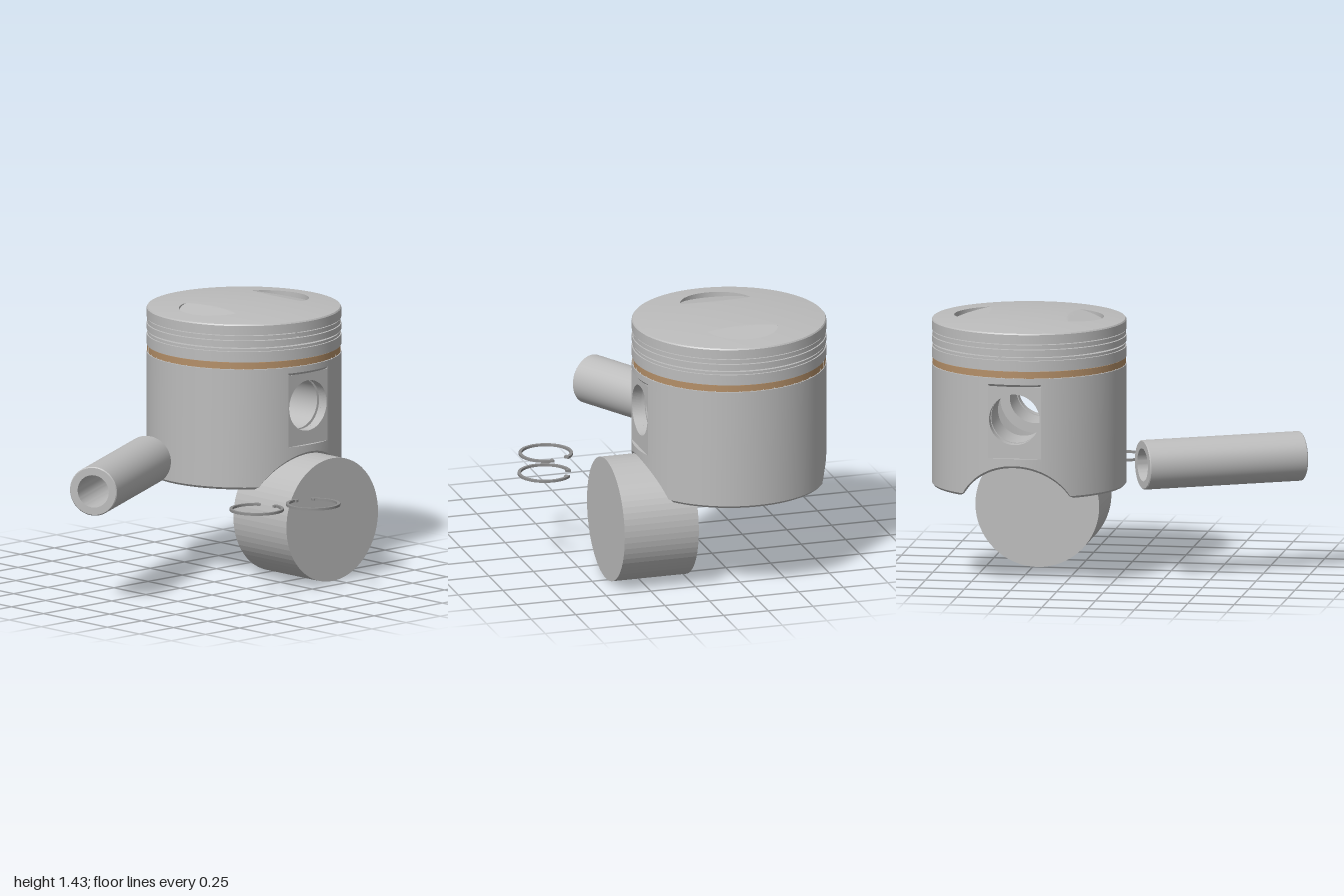
import * as THREE from 'three';
import { mergeGeometries, toCreasedNormals } from 'three/addons/utils/BufferGeometryUtils.js';

const alloy = new THREE.MeshStandardMaterial({ color: 0xbcbcbc });
alloy.name = 'light alloy grey';
const bronze = new THREE.MeshStandardMaterial({ color: 0xb48f68 });
bronze.name = 'bronze';
const spring = new THREE.MeshStandardMaterial({ color: 0x8e8e8e });
spring.name = 'spring steel grey';

const R = 0.52, INNER = 0.47, PIN_Y = 0.93, BORE = 0.137, ARCH = 0.335;

function part(name, geometry, material = alloy) {
  const mesh = new THREE.Mesh(geometry, material);
  mesh.name = name;
  return mesh;
}

const crease = (g, angle = 0.5) => toCreasedNormals(g, angle);

// Lathe from [radius, height] pairs
function lathe(pairs, segments = 96, start = 0, length = Math.PI * 2) {
  return crease(new THREE.LatheGeometry(pairs.map(([r, y]) => new THREE.Vector2(r, y)), segments, start, length));
}

// Ring of rectangular section
const band = (r0, r1, y0, y1, ...arc) => lathe([[r0, y0], [r1, y0], [r1, y1], [r0, y1], [r0, y0]], ...arc);

// Skin a list of equally long sections of [x, y, z] points
function loft(rows) {
  const n = rows[0].length, index = [];
  for (let i = 0; i < rows.length - 1; i++) {
    for (let j = 0; j < n - 1; j++) {
      const a = i * n + j, b = a + n;
      index.push(a, a + 1, b, a + 1, b + 1, b);
    }
  }
  const g = new THREE.BufferGeometry();
  g.setAttribute('position', new THREE.Float32BufferAttribute(rows.flat(2), 3));
  g.setIndex(index);
  return g;
}

// Lower skirt edge, arched front and back
const skirtBottom = x => Math.max(0.5, ARCH + Math.sqrt(Math.max(0, ARCH * ARCH - x * x)));

// Piece of skirt wall between two angles
function wall(a0, a1, top, bottom, segments) {
  const rows = [];
  for (let i = 0; i <= segments; i++) {
    const a = a0 + (a1 - a0) * i / segments, s = Math.sin(a), c = Math.cos(a);
    const p = (r, y) => [r * s, y, r * c];
    const low = r => bottom ?? skirtBottom(r * s);
    rows.push([p(R, top), p(R, low(R) + 0.012), p(R - 0.01, low(R - 0.01)),
      p(INNER, low(INNER)), p(INNER, top), p(R, top)]);
  }
  return loft(rows);
}

function skirt() {
  const a1 = Math.asin(0.143 / R), a2 = Math.asin(0.291 / R);
  const pieces = [];
  for (const turn of [0, Math.PI]) {
    pieces.push(
      wall(turn + a1, turn + a2, 1.15, null, 12),
      wall(turn + a2, turn + Math.PI - a2, 1.15, null, 40),
      wall(turn + Math.PI - a2, turn + Math.PI - a1, 1.15, null, 12),
      wall(turn - a1, turn + a1, 0.72, null, 14),
      wall(turn - a1, turn + a1, 1.15, 1.11, 14));
  }
  return crease(mergeGeometries(pieces));
}

// Half of the domed crown with one sloping valve pocket
function crownHalf() {
  const edge = 0.515, cx = 0.203, pr = 0.2, boundary = [], rows = [];
  const dome = (x, z) => 1.43 - 0.03 * (x * x + z * z) / (edge * edge);
  for (let i = 0; i <= 64; i++) {
    const a = Math.PI * i / 64;
    boundary.push([edge * Math.sin(a), edge * Math.cos(a)]);
  }
  for (let i = 1; i <= 64; i++) boundary.push([0, -edge + 2 * edge * i / 64]);
  for (const [bx, bz] of boundary) {
    const d = Math.hypot(bx - cx, bz), dx = (bx - cx) / d, dz = bz / d, row = [];
    for (let k = 0; k <= 8; k++) {
      const x = cx + dx * pr * k / 8, z = dz * pr * k / 8;
      row.push([x, Math.min(dome(x, z), 1.426 - 0.22 * (x - 0.21)), z]);
    }
    for (let k = 0; k <= 6; k++) {
      const r = pr + (d - pr) * k / 6, x = cx + dx * r, z = dz * r;
      row.push([x, dome(x, z), z]);
    }
    rows.push(row);
  }
  return crease(loft(rows), 0.15);
}

// Flat recessed pad around the pin bore
function pinPad() {
  const s = new THREE.Shape([[-0.143, -0.21], [0.143, -0.21], [0.143, 0.18], [-0.143, 0.18]]
    .map(([x, y]) => new THREE.Vector2(x, y)));
  s.holes.push(new THREE.Path().absarc(0, 0, BORE, 0, Math.PI * 2, true));
  return new THREE.ExtrudeGeometry(s, { depth: 0.05, bevelEnabled: false, curveSegments: 48 }).translate(0, 0, 0.45);
}

function buildPiston() {
  const piston = new THREE.Group();
  piston.name = 'piston';

  // Head with three ring grooves
  const profile = [[0, 1.22], [INNER, 1.22], [INNER, 1.15], [R, 1.15]];
  for (const [y0, y1] of [[1.155, 1.195], [1.252, 1.277], [1.311, 1.343]]) {
    profile.push([R, y0], [R - 0.035, y0], [R - 0.035, y1], [R, y1]);
  }
  profile.push([R, 1.393], [0.515, 1.4]);
  piston.add(part('head', lathe(profile, 128)));

  for (const turn of [0, Math.PI]) {
    const crown = part('crownHalf', crownHalf());
    crown.rotation.y = turn;
    piston.add(crown);

    // Pin boss with a retaining clip groove in its bore
    const side = new THREE.Group();
    side.name = 'pinBoss';
    side.add(part('pinPad', pinPad()));
    side.add(part('bossSleeve', lathe([[BORE, 0.2], [0.19, 0.2], [0.19, 0.455], [BORE, 0.455], [BORE, 0.445],
      [0.152, 0.445], [0.152, 0.425], [BORE, 0.425], [BORE, 0.2]], 64).rotateX(Math.PI / 2)));
    side.position.y = PIN_Y;
    side.rotation.y = turn;
    piston.add(side);
  }
  piston.add(part('skirt', skirt()));

  // Compression rings, each with a small end gap
  const full = Math.PI * 2 - 0.03;
  piston.add(part('topRing', band(0.48, 0.517, 1.315, 1.338, 96, -0.15, full)));
  piston.add(part('secondRing', band(0.48, 0.515, 1.254, 1.268, 96, 3, full)));

  // Slotted oil ring
  const pads = [band(0.48, 0.506, 1.157, 1.193, 96)];
  const count = 50, step = Math.PI * 2 / count;
  for (let i = 0; i < count; i++) pads.push(band(0.5, 0.517, 1.157, 1.193, 3, i * step, step * 0.92));
  piston.add(part('oilRing', mergeGeometries(pads), bronze));

  piston.position.set(0.475, 0, -0.275);
  return piston;
}

// Open circlip with a lug at each end
function clipGeometry() {
  const a0 = 0.67, a1 = Math.PI * 2 + 0.02, lug = 0.14;
  const s = new THREE.Shape();
  s.absarc(0, 0, 0.145, a0, a1, false);
  s.absarc(0, 0, 0.118, a1, a1 - lug, true);
  s.absarc(0, 0, 0.129, a1 - lug, a0 + lug, true);
  s.absarc(0, 0, 0.118, a0 + lug, a0, true);
  s.closePath();
  return new THREE.ExtrudeGeometry(s, { depth: 0.013, bevelEnabled: false, curveSegments: 48 }).rotateX(-Math.PI / 2);
}

export function createModel() {
  const model = new THREE.Group();
  model.name = 'pistonAssembly';
  model.add(buildPiston());

  // Hollow wrist pin lying beside the piston
  const h = 0.4455;
  const pin = part('wristPin', lathe([[0.088, -h], [0.128, -h], [0.133, -h + 0.005], [0.133, h - 0.005],
    [0.128, h], [0.088, h], [0.088, -h]], 64).rotateZ(Math.PI / 2));
  pin.position.set(-0.546, 0.632, -0.15);
  pin.rotation.y = Math.atan2(0.416, 0.788);
  model.add(pin);

  // Solid round block fitting the front arch
  const block = new THREE.CylinderGeometry(ARCH, ARCH, 0.415, 64).rotateX(Math.PI / 2).toNonIndexed();
  block.computeVertexNormals();
  const blockMesh = part('roundBlock', block);
  blockMesh.position.set(0.475, ARCH, 0.2075);
  model.add(blockMesh);

  // Two loose pin clips
  for (const [x, z, turn] of [[-0.195, 0.54, 0], [0.12, 0.645, 0.87]]) {
    const clip = part('pinClip', clipGeometry(), spring);
    clip.position.set(x, 0.496, z);
    clip.rotation.y = turn;
    model.add(clip);
  }
  return model;
}
